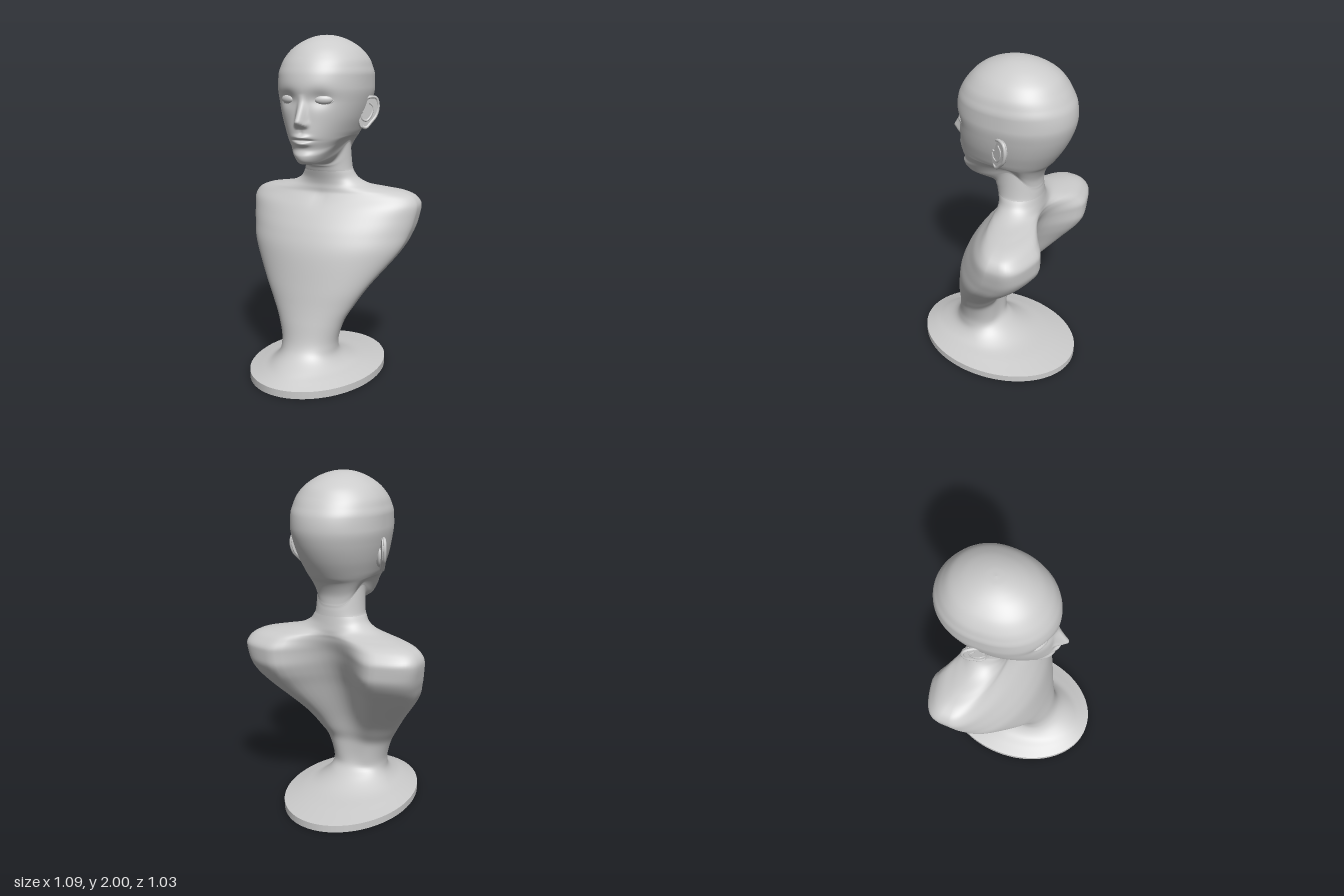
import * as THREE from 'three';

const material = new THREE.MeshStandardMaterial({ color: 0xcccccc, side: THREE.DoubleSide });

// Cross-sections: y, half width, front z, side z, back z, spine z, front power, back power
const TORSO = [
  [0.042, 0.385, 0.515, 0, -0.515, -0.515, 1, 1],
  [0.065, 0.31, 0.465, 0.02, -0.36, -0.36, 1, 1],
  [0.092, 0.235, 0.41, 0.05, -0.2, -0.2, 1, 1],
  [0.145, 0.182, 0.315, 0.1, -0.085, -0.085, 1, 1],
  [0.21, 0.172, 0.268, 0.12, -0.022, -0.02, 1, 0.9],
  [0.335, 0.204, 0.24, 0.11, -0.024, -0.01, 1, 0.8],
  [0.43, 0.255, 0.222, 0.085, -0.066, -0.03, 1.05, 0.7],
  [0.55, 0.33, 0.203, 0.04, -0.145, -0.065, 1.1, 0.6],
  [0.74, 0.468, 0.17, -0.09, -0.31, -0.14, 1.2, 0.5],
  [0.85, 0.515, 0.13, -0.16, -0.402, -0.19, 1.2, 0.45],
  [0.93, 0.535, 0.085, -0.19, -0.437, -0.225, 1.2, 0.45],
  [1.0, 0.545, 0.035, -0.21, -0.437, -0.25, 1.15, 0.45],
  [1.055, 0.52, -0.018, -0.22, -0.402, -0.272, 1.1, 0.5],
  [1.086, 0.46, -0.034, -0.22, -0.362, -0.28, 1.1, 0.55],
  [1.105, 0.37, -0.035, -0.21, -0.315, -0.284, 1.1, 0.75],
  [1.125, 0.257, -0.036, -0.18, -0.288, -0.284, 1, 1],
  [1.16, 0.183, -0.03, -0.16, -0.28, -0.28, 1, 1],
  [1.21, 0.148, -0.014, -0.145, -0.274, -0.274, 1, 1],
];

// Cross-sections: y, half width, front z, side z, back z, front power
const HEAD = [
  [1.21, 0.148, -0.014, -0.145, -0.274, 1],
  [1.24, 0.138, 0.0, -0.14, -0.272, 1],
  [1.262, 0.134, 0.03, -0.135, -0.27, 1.1],
  [1.269, 0.135, 0.17, -0.13, -0.27, 1.5],
  [1.285, 0.14, 0.21, -0.125, -0.269, 1.4],
  [1.32, 0.155, 0.224, -0.115, -0.271, 1.15],
  [1.358, 0.17, 0.21, -0.11, -0.283, 1],
  [1.4, 0.185, 0.222, -0.105, -0.306, 0.97],
  [1.44, 0.196, 0.229, -0.105, -0.34, 0.95],
  [1.53, 0.23, 0.224, -0.11, -0.395, 0.9],
  [1.62, 0.254, 0.221, -0.12, -0.433, 0.87],
  [1.7, 0.266, 0.228, -0.13, -0.448, 0.85],
  [1.77, 0.266, 0.217, -0.13, -0.439, 0.85],
  [1.82, 0.255, 0.196, -0.13, -0.416, 0.85],
  [1.865, 0.238, 0.167, -0.13, -0.388, 0.87],
  [1.915, 0.2, 0.122, -0.125, -0.347, 0.9],
  [1.955, 0.148, 0.065, -0.12, -0.288, 0.95],
  [1.98, 0.1, 0.005, -0.115, -0.228, 1],
  [1.995, 0.05, -0.055, -0.11, -0.168, 1],
  [2.0, 0, -0.11, -0.11, -0.11, 1],
];

// Smooth interpolation between rows that never overshoots
function sampleRows(rows, steps) {
  const slope = (k, c) => {
    if (k === 0) return rows[1][c] - rows[0][c];
    if (k === rows.length - 1) return rows[k][c] - rows[k - 1][c];
    const a = rows[k][c] - rows[k - 1][c], b = rows[k + 1][c] - rows[k][c];
    if (a * b <= 0) return 0;
    return Math.sign(a) * Math.min(Math.abs(a + b) / 2, 3 * Math.abs(a), 3 * Math.abs(b));
  };
  const out = [];
  for (let k = 0; k < rows.length - 1; k++) {
    for (let s = 0; s < steps; s++) {
      const t = s / steps, t2 = t * t, t3 = t2 * t;
      out.push(rows[k].map((v, c) =>
        (2 * t3 - 3 * t2 + 1) * v + (t3 - 2 * t2 + t) * slope(k, c) +
        (3 * t2 - 2 * t3) * rows[k + 1][c] + (t3 - t2) * slope(k + 1, c)));
    }
  }
  out.push(rows[rows.length - 1]);
  return out;
}

// Skin a stack of sections; lift(y) raises the flanks, relief(x, y) pushes the front outward
function loft(rows, steps, sides, lift, relief) {
  const levels = sampleRows(rows, steps), pos = [], index = [];
  levels.forEach(([level, w, front, side, back, spine, p, q], i) => {
    for (let j = 0; j < sides; j++) {
      const a = (j / sides) * Math.PI * 2, c = Math.cos(a), s = Math.sin(a);
      const x = w * s, y = level + lift(level) * s ** 4;
      let z;
      if (c > 0) {
        z = side + (front - side) * Math.pow(c, p) + relief(x, y) * Math.min(1, c * 3);
      } else {
        const groove = Math.pow(Math.max(0, 1 - (s / 0.6) ** 2), 2);
        z = side + (back - side) * Math.pow(-c, q) + (spine - back) * groove;
      }
      pos.push(x, y, z);
      if (i < levels.length - 1) {
        const k = (j + 1) % sides, lo = i * sides, hi = lo + sides;
        index.push(lo + j, lo + k, hi + k, lo + j, hi + k, hi + j);
      }
    }
  });
  const g = new THREE.BufferGeometry();
  g.setAttribute('position', new THREE.Float32BufferAttribute(pos, 3));
  g.setIndex(index);
  g.computeVertexNormals();
  return g;
}

const smooth = THREE.MathUtils.smoothstep;
const bump = (x, y, x0, y0, sx, sy) => Math.exp(-(((x - x0) / sx) ** 2) - ((y - y0) / sy) ** 2);

// The jaw line climbs from the chin towards the ears
const jawLift = (y) => 0.11 * smooth(y, 1.215, 1.268) * (1 - smooth(y, 1.268, 1.46));

// Nose, eye sockets and lips
function faceRelief(x, y) {
  const ax = Math.abs(x);
  const t = THREE.MathUtils.clamp((1.67 - y) / 0.15, 0, 1);
  const under = smooth(y, 1.472, 1.516);
  let d = 0.066 * Math.pow(t, 1.3) * under * Math.exp(-Math.pow(ax / (0.018 + 0.01 * t), 2.6));
  d += 0.017 * bump(ax, y, 0.03, 1.498, 0.013, 0.015);
  d -= 0.02 * bump(ax, y, 0.1, 1.64, 0.06, 0.045);
  d += 0.022 * bump(x, y, 0, 1.429, 0.042, 0.013);
  d += 0.025 * bump(x, y, 0, 1.392, 0.036, 0.014);
  d -= 0.016 * bump(x, y, 0, 1.411, 0.05, 0.006);
  d -= 0.005 * bump(x, y, 0, 1.455, 0.01, 0.014);
  return d;
}

// Hollow at the base of the throat and faint collarbones
const chestRelief = (x, y) =>
  -0.01 * bump(x, y, 0, 1.04, 0.035, 0.04) +
  0.005 * bump(Math.abs(x), y, 0.15, 1.05, 0.1, 0.025);

function add(parent, geometry, name) {
  const mesh = new THREE.Mesh(geometry, material);
  mesh.name = name;
  parent.add(mesh);
  return mesh;
}

const curve = (pts, closed = false) =>
  new THREE.CatmullRomCurve3(pts.map(([u, v, n = 0]) => new THREE.Vector3(u, v, n)), closed);

function makeEye() {
  const eye = new THREE.Group();
  eye.position.set(0.112, 1.637, 0.168);
  eye.rotation.y = 0.45;
  add(eye, new THREE.SphereGeometry(1, 32, 20), 'eyeball').scale.set(0.052, 0.026, 0.022);
  const rim = [];
  for (let i = 0; i < 16; i++) {
    const a = (i / 16) * Math.PI * 2, s = Math.sin(a);
    rim.push([0.054 * Math.cos(a), (s > 0 ? 0.027 : 0.024) * s, 0.004 * Math.abs(s)]);
  }
  add(eye, new THREE.TubeGeometry(curve(rim, true), 48, 0.0042, 8, true), 'eyelid');
  return eye;
}

function makeEar() {
  const ear = new THREE.Group();
  ear.position.set(0.224, 1.553, -0.07);
  ear.rotation.y = THREE.MathUtils.degToRad(58);
  const outline = [[0, 0.03], [0.03, 0.07], [0.08, 0.09], [0.124, 0.084], [0.14, 0.042],
    [0.126, -0.015], [0.09, -0.054], [0.05, -0.086], [0.02, -0.082], [0.002, -0.03]];
  const shape = new THREE.Shape(curve(outline, true).getPoints(48).map((p) => new THREE.Vector2(p.x, p.y)));
  const plate = new THREE.ExtrudeGeometry(shape, {
    depth: 0.008, bevelThickness: 0.005, bevelSize: 0.003, bevelSegments: 3,
  });
  plate.translate(0, 0, -0.014);
  add(ear, plate, 'earPlate');
  const helix = [[0.03, 0.005, -0.004], ...[[0.004, 0.035], ...outline.slice(1, 8)].map(([u, v]) => [u, v, -0.004]),
    [0.026, -0.078, -0.006]];
  add(ear, new THREE.TubeGeometry(curve(helix), 56, 0.0095, 10), 'earRim');
  const fold = [[0.075, 0.058], [0.1, 0.034], [0.09, -0.012], [0.056, -0.045], [0.025, -0.035], [0.014, -0.008]];
  add(ear, new THREE.TubeGeometry(curve(fold.map(([u, v]) => [u, v, -0.003])), 40, 0.007, 8), 'earFold');
  const root = add(ear, new THREE.SphereGeometry(1, 20, 14), 'earRoot');
  root.position.set(0.04, -0.002, -0.024);
  root.scale.set(0.05, 0.068, 0.02);
  return ear;
}

export function createModel() {
  const model = new THREE.Group();
  model.name = 'mannequinBust';

  // Oval foot plate
  const base = add(model, new THREE.CylinderGeometry(0.385, 0.385, 0.042, 96), 'base');
  base.position.y = 0.021;
  base.scale.z = 0.515 / 0.385;

  // Stem, chest, shoulders and lower neck, then upper neck and head
  add(model, loft(TORSO, 6, 80, () => 0, chestRelief), 'torso');
  const headRows = HEAD.map(([y, w, f, s, b, p]) => [y, w, f, s, b, b, p, 0.93]);
  add(model, loft(headRows, 14, 160, jawLift, faceRelief), 'head');

  // Paired features
  for (const [sideName, sign] of [['left', 1], ['right', -1]]) {
    const pair = new THREE.Group();
    pair.name = sideName + 'EyeAndEar';
    pair.scale.x = sign;
    const eye = makeEye(), ear = makeEar();
    eye.name = sideName + 'Eye';
    ear.name = sideName + 'Ear';
    pair.add(eye, ear);
    model.add(pair);
  }
  return model;
}
